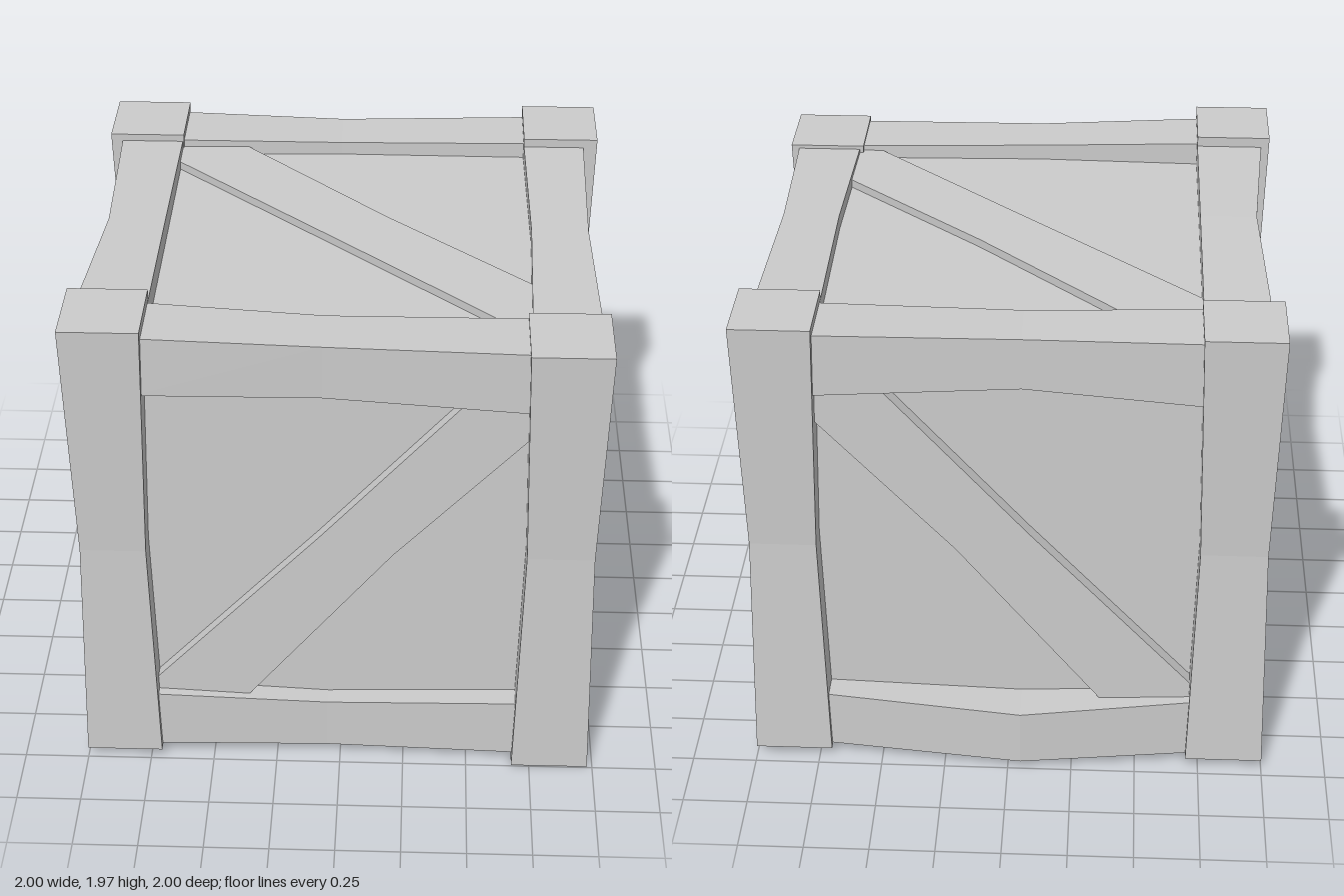
import * as THREE from 'three';

const material = new THREE.MeshStandardMaterial({ color: 0xcccccc, flatShading: true });

// A beam along an axis through three rectangular sections [t, u0, u1, v0, v1].
// Axis x: u = y, v = z.  Axis y: u = x, v = z.  Axis z: u = x, v = y.
function beam(name, axis, sections) {
  const order = { x: ['x', 'y', 'z'], y: ['y', 'x', 'z'], z: ['z', 'x', 'y'] }[axis];
  const seg = order.map(() => 1);
  seg['xyz'.indexOf(axis)] = 2;
  const geometry = new THREE.BoxGeometry(2, 2, 2, ...seg);
  const pos = geometry.attributes.position;
  const p = new THREE.Vector3();
  for (let i = 0; i < pos.count; i++) {
    p.fromBufferAttribute(pos, i);
    const [t, u0, u1, v0, v1] = sections[Math.round(p[order[0]]) + 1];
    const u = p[order[1]] < 0 ? u0 : u1;
    const v = p[order[2]] < 0 ? v0 : v1;
    p[order[0]] = t;
    p[order[1]] = u;
    p[order[2]] = v;
    pos.setXYZ(i, p.x, p.y, p.z);
  }
  geometry.computeVertexNormals();
  const mesh = new THREE.Mesh(geometry, material);
  mesh.name = name;
  return mesh;
}

// A corner post, narrowed on all four sides at mid height
function post(name, x0, x1, z0, z1, y0, y1) {
  const n = 0.023;
  return beam(name, 'y', [
    [y0, x0, x1, z0, z1],
    [1.0, x0 + n, x1 - n, z0 + n, z1 - n],
    [y1, x0, x1, z0, z1],
  ]);
}

// A diagonal plank drawn in the plane of its face, then turned to that face
function brace(name, outline, from, to, rx, ry) {
  const shape = new THREE.Shape(outline.map(([x, y]) => new THREE.Vector2(x, y)));
  const geometry = new THREE.ExtrudeGeometry(shape, { depth: to - from, bevelEnabled: false });
  geometry.translate(0, 0, from);
  geometry.rotateX(rx);
  geometry.rotateY(ry);
  const mesh = new THREE.Mesh(geometry, material);
  mesh.name = name;
  return mesh;
}

export function createModel() {
  const crate = new THREE.Group();
  crate.name = 'crate';

  // Inner box whose sides are the recessed panels
  const panels = new THREE.Mesh(new THREE.BoxGeometry(1.73, 1.73, 1.71), material);
  panels.name = 'panels';
  panels.position.set(0, 0.972, 0.02);
  crate.add(panels);

  // Corner posts of slightly different heights
  crate.add(
    post('frontRightPost', -1.0, -0.705, 0.685, 0.995, 0.04, 1.97),
    post('frontLeftPost', 0.68, 0.98, 0.685, 0.995, 0.0, 1.9),
    post('backRightPost', -1.0, -0.7, -0.96, -0.65, 0.04, 1.93),
    post('backLeftPost', 0.7, 1.0, -0.96, -0.65, 0.04, 1.935),
  );

  // Rails along x
  crate.add(
    beam('frontTopRail', 'x', [
      [-0.74, 1.69, 1.93, 0.71, 0.965], [-0.06, 1.685, 1.9, 0.73, 0.95], [0.74, 1.64, 1.89, 0.71, 0.965]]),
    beam('frontBottomRail', 'x', [
      [-0.74, 0.05, 0.3, 0.71, 0.965], [-0.05, 0.05, 0.265, 0.73, 0.95], [0.74, 0.04, 0.29, 0.71, 0.965]]),
    beam('backTopRail', 'x', [
      [-0.74, 1.64, 1.9, -0.93, -0.665], [-0.05, 1.685, 1.89, -0.905, -0.685], [0.74, 1.65, 1.9, -0.93, -0.68]]),
    beam('backBottomRail', 'x', [
      [-0.74, 0.05, 0.3, -0.93, -0.67], [-0.05, 0.035, 0.265, -1.0, -0.69], [0.74, 0.05, 0.29, -0.93, -0.67]]),
  );

  // Rails along z
  crate.add(
    beam('leftTopRail', 'z', [
      [-0.69, 0.7, 0.945, 1.645, 1.9], [0.05, 0.71, 0.93, 1.685, 1.893], [0.73, 0.695, 0.95, 1.635, 1.885]]),
    beam('leftBottomRail', 'z', [
      [-0.69, 0.7, 0.945, 0.055, 0.31], [0.06, 0.71, 0.93, 0.045, 0.26], [0.73, 0.695, 0.95, 0.04, 0.29]]),
    beam('rightTopRail', 'z', [
      [-0.69, -0.955, -0.705, 1.645, 1.9], [0.06, -0.925, -0.705, 1.685, 1.92], [0.73, -0.97, -0.705, 1.635, 1.93]]),
    beam('rightBottomRail', 'z', [
      [-0.69, -0.955, -0.705, 0.055, 0.31], [0.06, -0.925, -0.71, 0.045, 0.26], [0.73, -0.965, -0.705, 0.045, 0.29]]),
  );

  // Diagonal braces, running into the frame corners
  const q = Math.PI / 2;
  const front = [
    [-0.73, 0.25], [-0.38, 0.25], [0.2, 0.97], [0.73, 1.54], [0.73, 1.7], [0.5, 1.7], [-0.08, 1.045], [-0.73, 0.34]];
  const side = [
    [-0.72, 0.25], [-0.65, 0.25], [0.0, 0.935], [0.67, 1.57], [0.67, 1.7], [0.42, 1.7], [-0.18, 1.09], [-0.72, 0.555]];
  const back = front.map(([x, y]) => [-x, y]).reverse();
  const top = [
    [-0.73, 0.55], [0.0, -0.14], [0.63, -0.74], [0.73, -0.74], [0.73, -0.45], [0.15, 0.085], [-0.45, 0.69], [-0.73, 0.69]];
  const bottom = top.map(([x, y]) => [x, -y]).reverse();
  crate.add(
    brace('frontBrace', front, 0.85, 0.925, 0, 0),
    brace('backBrace', back, 0.8, 0.895, 0, 2 * q),
    brace('leftBrace', side, 0.83, 0.92, 0, q),
    brace('rightBrace', side, 0.83, 0.915, 0, -q),
    brace('topBrace', top, 1.8, 1.87, -q, 0),
    brace('bottomBrace', bottom, -0.13, -0.07, q, 0),
  );

  return crate;
}
